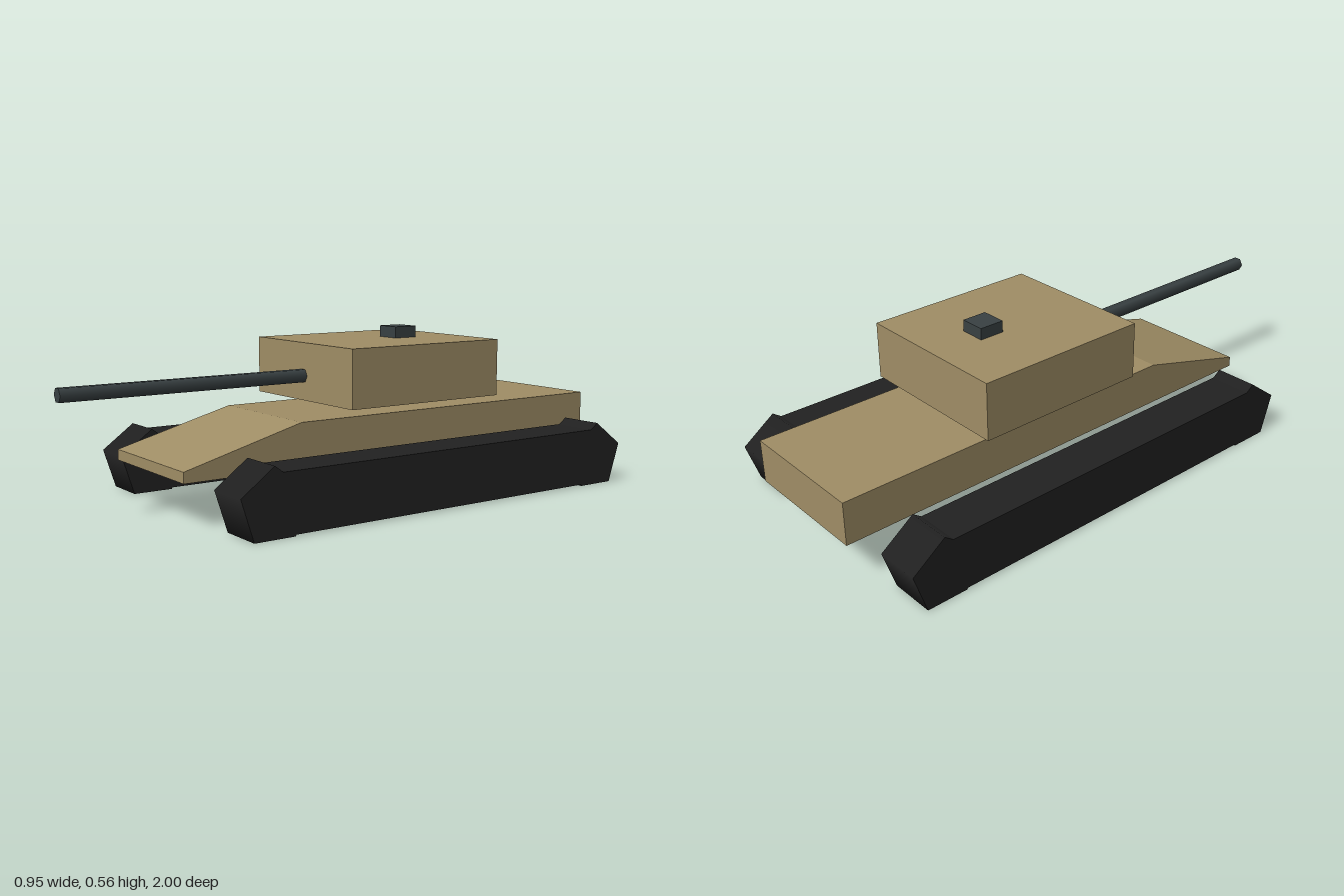
import * as THREE from 'three';

export function createModel() {
  const model = new THREE.Group();
  model.name = 'tank';

  const material = (name, color) => {
    const m = new THREE.MeshStandardMaterial({ color });
    m.name = name;
    return m;
  };
  const sand = material('sand armour', 0xa08e66);
  const steel = material('dark steel', 0x394143);
  const rubber = material('black track', 0x222222);

  const add = (parent, name, geometry, mat, x = 0, y = 0, z = 0) => {
    const mesh = new THREE.Mesh(geometry, mat);
    mesh.name = name;
    mesh.position.set(x, y, z);
    parent.add(mesh);
    return mesh;
  };

  // Hull: side profile (z, y) with sloping front plate, extruded across the width
  const hullWidth = 0.464;
  const profile = new THREE.Shape(
    [[-1, 0.145], [0.705, 0.145], [0.705, 0.181], [0.28, 0.293], [-1, 0.293]]
      .map(([z, y]) => new THREE.Vector2(-z, y)).reverse()
  );
  const hull = new THREE.ExtrudeGeometry(profile, { depth: hullWidth, bevelEnabled: false });
  hull.translate(0, 0, -hullWidth / 2);
  hull.rotateY(Math.PI / 2);
  add(model, 'hull', hull, sand);

  // Turret floats just above the hull, with a hatch on its roof
  add(model, 'turret', new THREE.BoxGeometry(0.572, 0.198, 0.63), sand, 0, 0.424, -0.195);
  add(model, 'hatch', new THREE.BoxGeometry(0.09, 0.04, 0.09), steel, 0, 0.543, -0.29);

  // Six-sided gun barrel, corners to left and right
  const barrel = new THREE.CylinderGeometry(0.025, 0.025, 0.88, 6, 1, false, Math.PI / 2);
  barrel.rotateX(Math.PI / 2);
  add(model, 'gunBarrel', barrel, steel, 0, 0.41, 0.56);

  // Tracks: a long block between two five-sided end wheels
  const wheel = new THREE.CylinderGeometry(0.122, 0.122, 0.154, 5, 1, false, Math.PI / 2);
  wheel.rotateZ(Math.PI / 2);
  const belt = new THREE.BoxGeometry(0.154, 0.194, 1.36);
  for (const [side, x] of [['left', 0.398], ['right', -0.398]]) {
    const track = new THREE.Group();
    track.name = side + 'Track';
    track.position.x = x;
    add(track, side + 'Belt', belt, rubber, 0, 0.102, -0.145);
    add(track, side + 'FrontWheel', wheel, rubber, 0, 0.0987, 0.535);
    add(track, side + 'RearWheel', wheel, rubber, 0, 0.0987, -0.825);
    model.add(track);
  }

  return model;
}
